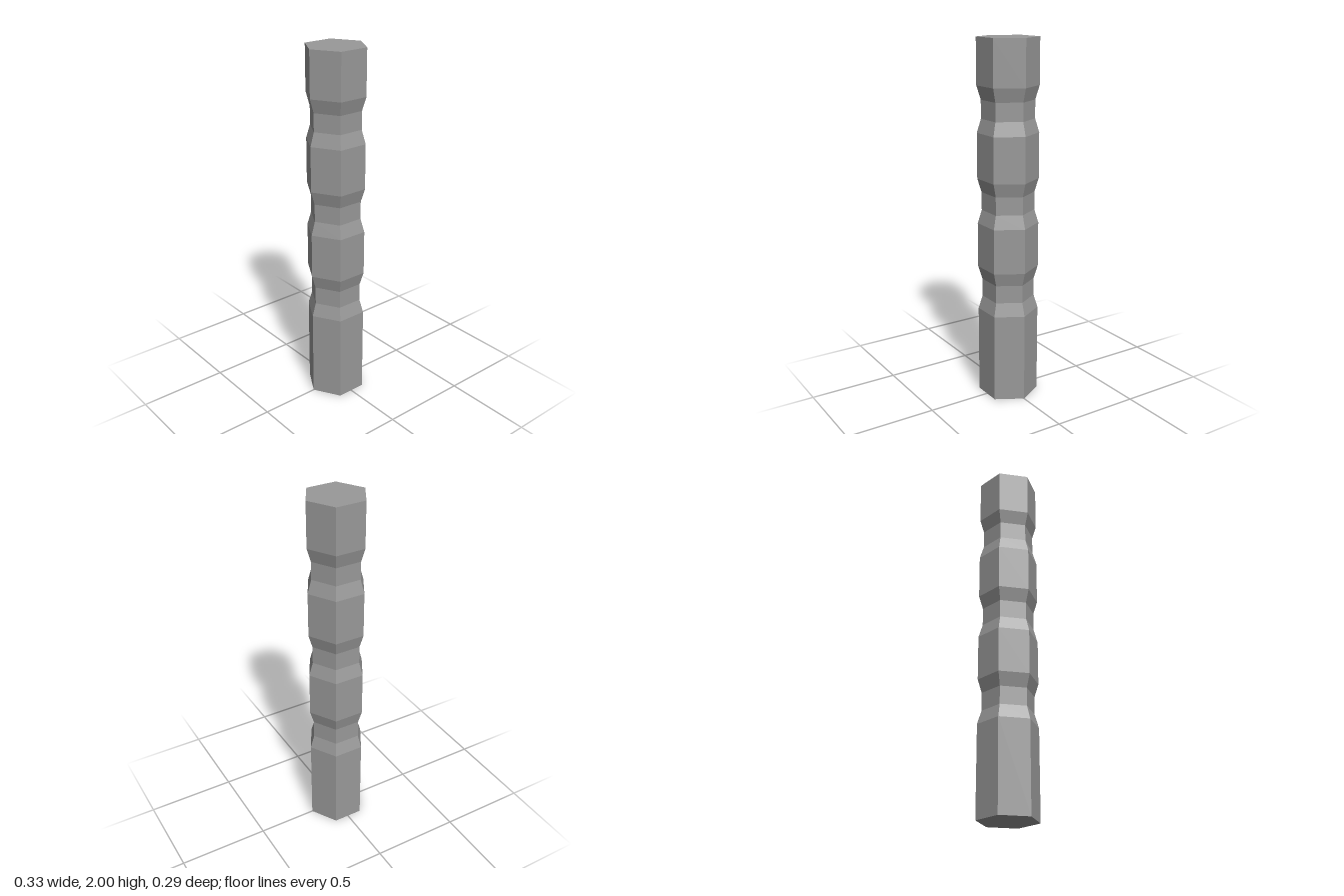
import * as THREE from 'three';

export function createModel() {
  const group = new THREE.Group();
  group.name = 'notchedPillar';
  const grey = new THREE.MeshStandardMaterial({ color: 0x999999 });
  grey.name = 'grey';

  const height = 2, outer = 0.1667, neck = 0.144;

  // Profile from bottom centre to top centre, with three recessed necks
  const profile = [[0, 0], [outer, 0]];
  for (const y of [0.5, 1, 1.5]) {
    profile.push([outer, y], [neck, y + 0.075], [neck, y + 0.175], [outer, y + 0.25]);
  }
  profile.push([outer, height], [0, height]);

  // Six-sided shaft with corners on the x axis, faceted normals
  const points = profile.map(([r, y]) => new THREE.Vector2(r, y));
  const geometry = new THREE.LatheGeometry(points, 6, Math.PI / 2).toNonIndexed();
  geometry.computeVertexNormals();

  const shaft = new THREE.Mesh(geometry, grey);
  shaft.name = 'hexagonalShaft';
  group.add(shaft);
  return group;
}
